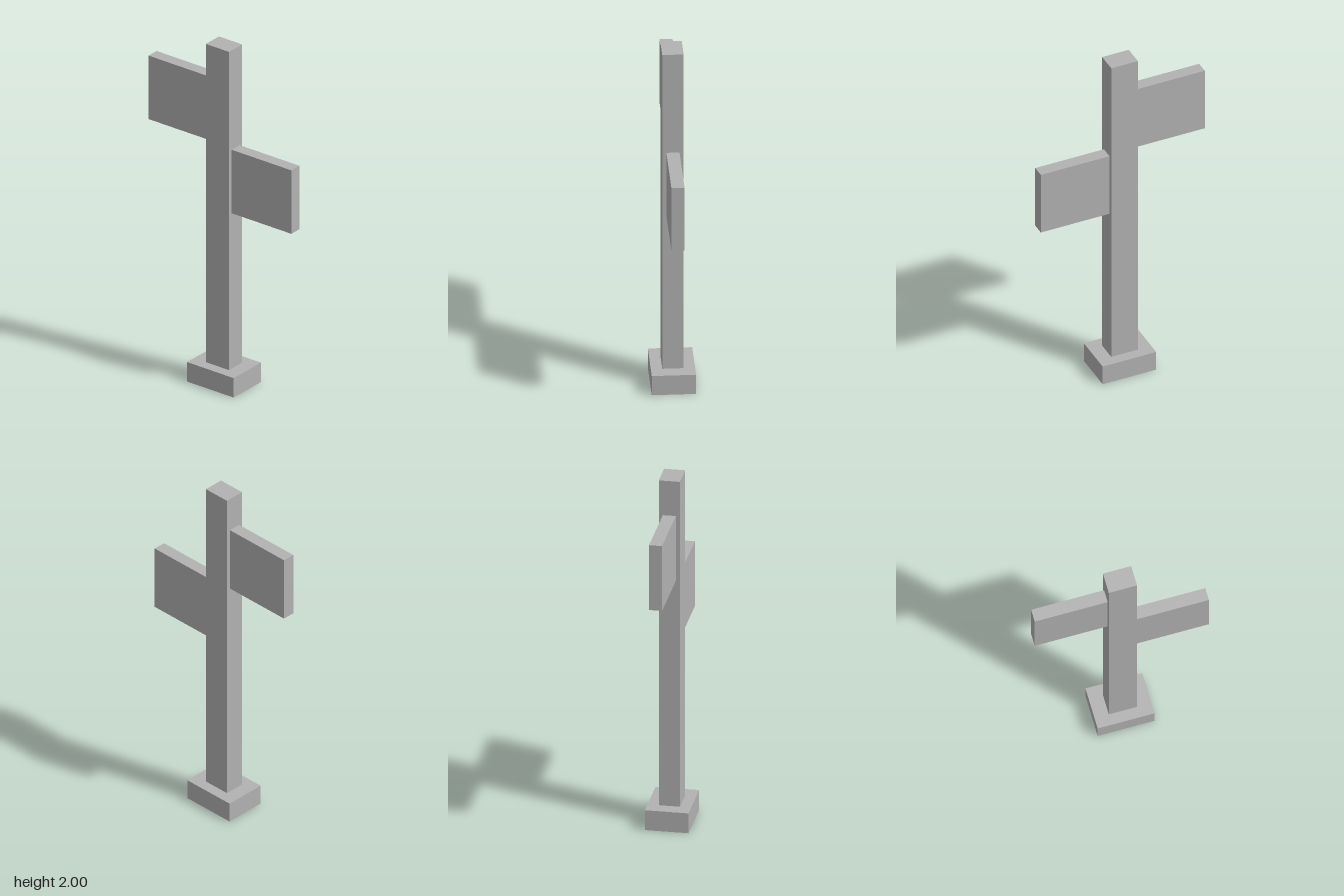
import * as THREE from 'three';

export function createModel() {
  const model = new THREE.Group();
  model.name = 'signpost';
  const grey = new THREE.MeshStandardMaterial({ color: 0xb2b2b2 });
  grey.name = 'grey';

  // Box given by its width, its y range and its z range
  const addBox = (name, width, [y0, y1], [z0, z1]) => {
    const mesh = new THREE.Mesh(new THREE.BoxGeometry(width, y1 - y0, z1 - z0), grey);
    mesh.name = name;
    mesh.position.set(0, (y0 + y1) / 2, (z0 + z1) / 2);
    model.add(mesh);
  };

  addBox('base', 0.236, [0, 0.115], [-0.157, 0.157]);
  addBox('post', 0.114, [0.115, 2], [-0.078, 0.078]);

  // Sign boards on opposite sides of the post
  addBox('frontBoard', 0.07, [1.036, 1.412], [0.078, 0.481]);
  addBox('backBoard', 0.07, [1.424, 1.8], [-0.481, -0.078]);

  return model;
}
